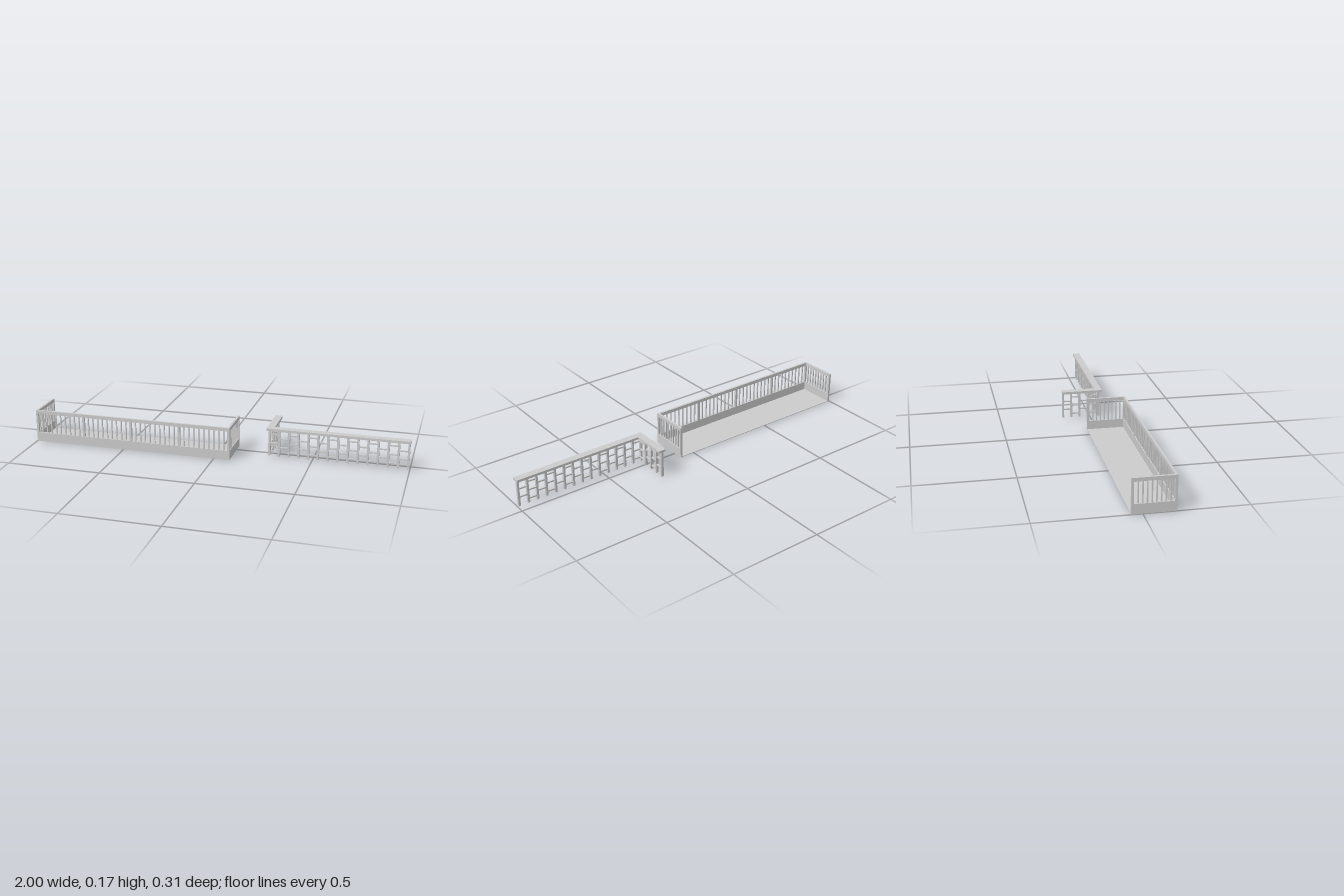
import * as THREE from 'three';

const material = new THREE.MeshStandardMaterial({ color: 0xcccccc, flatShading: true });

// Box given by its minimum and maximum corners
function addBox(group, name, [x0, y0, z0], [x1, y1, z1]) {
  const mesh = new THREE.Mesh(new THREE.BoxGeometry(x1 - x0, y1 - y0, z1 - z0), material);
  mesh.position.set((x0 + x1) / 2, (y0 + y1) / 2, (z0 + z1) / 2);
  mesh.name = name;
  group.add(mesh);
}

// Box given by its centre and size
function addCentred(group, name, [x, y, z], [w, h, d]) {
  addBox(group, name, [x - w / 2, y - h / 2, z - d / 2], [x + w / 2, y + h / 2, z + d / 2]);
}

function createBalcony() {
  const g = new THREE.Group();
  g.name = 'balcony';
  const L = -1, R = 0.085, B = -0.053, F = 0.158;
  const t = 0.012, panelTop = 0.05, railBottom = 0.157, top = 0.175, bar = 0.006;
  const midY = (panelTop + railBottom) / 2, barH = railBottom - panelTop;

  addBox(g, 'floor', [L, 0, B], [R, 0.003, F]);

  // Front: solid panel, top rail, posts and balusters
  addBox(g, 'frontPanel', [L, 0, F - t], [R, panelTop, F]);
  addBox(g, 'frontRail', [L, railBottom, F - t], [R, top, F]);
  const bays = 4, perBay = 10, first = L + t / 2, span = R - L - t;
  for (let i = 0; i <= bays * perBay; i++) {
    const x = first + (span * i) / (bays * perBay);
    const post = i % perBay === 0;
    const w = post ? t : bar;
    addCentred(g, post ? 'frontPost' : 'frontBaluster', [x, midY, F - t / 2], [w, barH, w]);
  }

  // Both ends: panel, rail, back post and balusters
  for (const x0 of [L, R - t]) {
    const x1 = x0 + t, x = x0 + t / 2;
    addBox(g, 'endPanel', [x0, 0, B], [x1, panelTop, F - t]);
    addBox(g, 'endRail', [x0, railBottom, B], [x1, top, F - t]);
    addBox(g, 'endPost', [x0, panelTop, B], [x1, railBottom, B + t]);
    for (let i = 0; i < 8; i++) {
      addCentred(g, 'endBaluster', [x, midY, 0.128 - 0.0213 * i], [bar, barH, bar]);
    }
  }
  return g;
}

function createTrellis() {
  const g = new THREE.Group();
  g.name = 'trellisFence';
  const bottom = 0.006, railBottom = 0.146, top = 0.159;
  const postY = (bottom + railBottom) / 2, postH = railBottom - bottom;
  const rungLevels = [[0.123, 0.075, 0.027], [0.099, 0.053]];
  const frontZ = 0.045, sideX = 0.277;

  // L-shaped flat cap
  addBox(g, 'frontCap', [0.258, railBottom, 0.027], [1, top, 0.065]);
  addBox(g, 'sideCap', [0.258, railBottom, -0.157], [0.297, top, 0.027]);

  // Front run: posts with rungs at alternating levels
  const count = 14, x0 = 0.272, step = (0.991 - x0) / count;
  for (let i = 0; i <= count; i++) {
    const x = x0 + step * i;
    addCentred(g, 'frontPost', [x, postY, frontZ], [0.011, postH, 0.014]);
    if (i === count) break;
    for (const y of rungLevels[i % 2]) {
      addCentred(g, 'frontRung', [x + step / 2, y, frontZ], [step, 0.007, 0.008]);
    }
  }

  // Side run towards the back
  const zs = [frontZ, -0.009, -0.06, -0.106, -0.152];
  for (let i = 1; i < zs.length; i++) {
    addCentred(g, 'sidePost', [sideX, postY, zs[i]], [0.014, postH, 0.01]);
    for (const y of rungLevels[(i - 1) % 2]) {
      addBox(g, 'sideRung', [sideX - 0.004, y - 0.0035, zs[i]], [sideX + 0.004, y + 0.0035, zs[i - 1]]);
    }
  }
  return g;
}

export function createModel() {
  const model = new THREE.Group();
  model.name = 'balconyAndTrellis';
  model.add(createBalcony(), createTrellis());
  return model;
}
